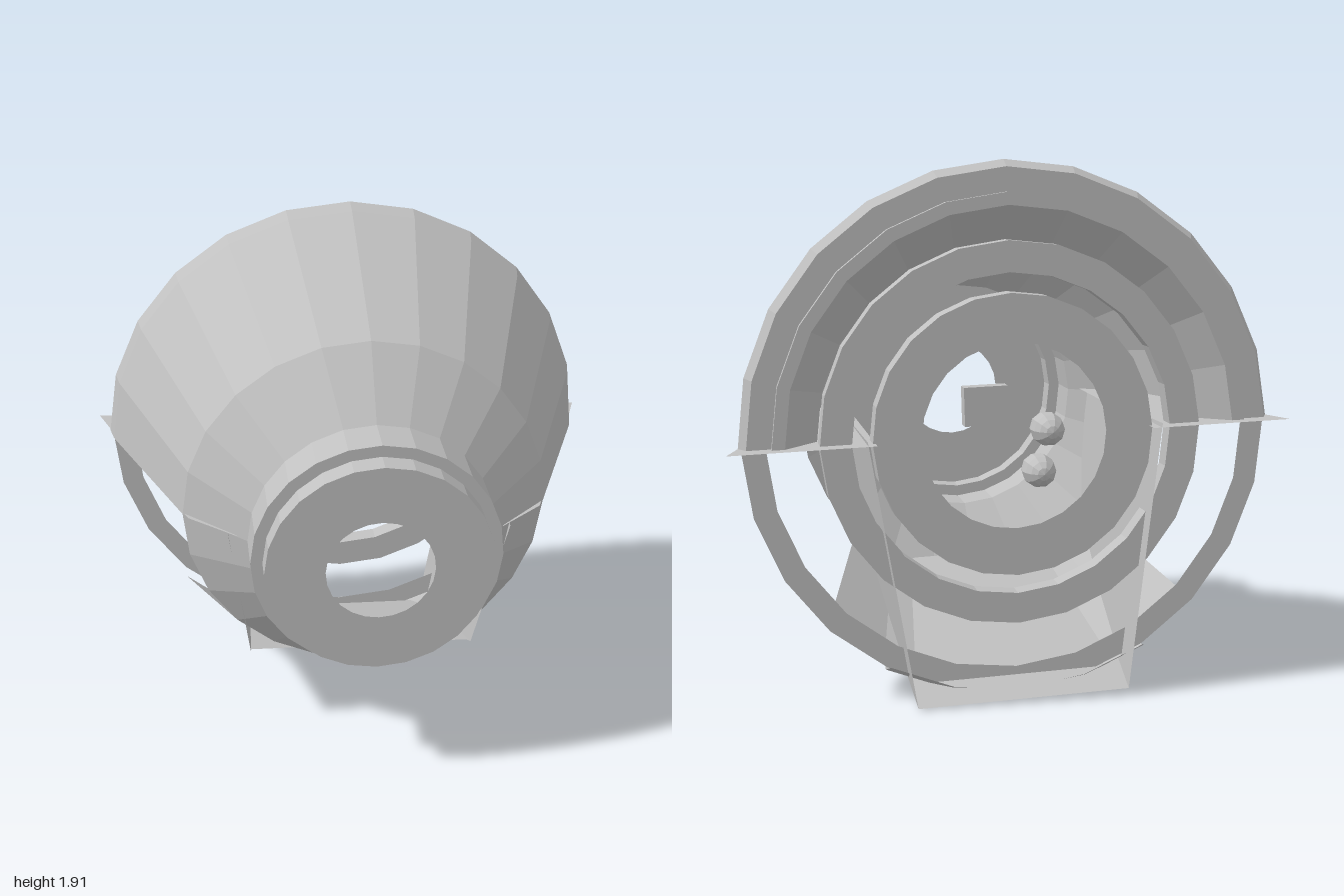
import * as THREE from 'three';

const grey = new THREE.MeshStandardMaterial({ color: 0xc0c0c0, flatShading: true, side: THREE.DoubleSide });
grey.name = 'plain grey';

export function createModel() {
  const model = new THREE.Group();
  const body = new THREE.Group();
  body.name = 'body';
  body.position.set(-0.003, 0.957, 0);
  body.rotation.z = -0.03; // slight roll
  model.add(body);

  const add = (name, geometry) => {
    const mesh = new THREE.Mesh(geometry, grey);
    mesh.name = name;
    body.add(mesh);
    return mesh;
  };
  // surface of revolution about z from [radius, z] pairs; angle 0 points straight down
  const turned = (name, profile, segments = 24, start = 0, sweep = Math.PI * 2) => {
    const g = new THREE.LatheGeometry(profile.map(p => new THREE.Vector2(...p)), segments, start, sweep);
    return add(name, g.rotateX(Math.PI / 2));
  };
  // flat convex plate as a fan of corners
  const plate = (name, corners) => {
    const g = new THREE.BufferGeometry();
    g.setAttribute('position', new THREE.Float32BufferAttribute(corners.flat(), 3));
    const index = [];
    for (let i = 1; i < corners.length - 1; i++) index.push(0, i, i + 1);
    g.setIndex(index);
    g.computeVertexNormals();
    return add(name, g);
  };

  // stepped front boss with its opening, and the short front cone
  turned('frontBoss', [[0.195, 0.635], [0.41, 0.635], [0.41, 0.555],
    [0.453, 0.555], [0.453, 0.4], [0.68, 0.19]]);

  // upper half shell with a stepped rear rim turning inward
  turned('upperShell', [[0.68, 0.19], [0.94, -0.44], [0.955, -0.51], [0.93, -0.56],
    [0.845, -0.56], [0.845, -0.585], [0.8, -0.585], [0.68, -0.47]], 12, Math.PI / 2, Math.PI);

  // lower part of the shell, its rim and the open hoop
  turned('lowerShell', [[0.68, 0.19], [0.94, -0.43]], 6, -Math.PI / 4, Math.PI / 2);
  turned('lowerRim', [[0.94, -0.43], [0.955, -0.51], [0.93, -0.56]], 4, -Math.PI / 6, Math.PI / 3);
  turned('lowerHoop', [[0.86, -0.51], [0.945, -0.51]], 12, -Math.PI / 2, Math.PI);

  // concentric rings inside the back
  turned('middleRing', [[0.57, -0.5], [0.68, -0.5], [0.68, -0.57], [0.57, -0.57], [0.57, -0.5]]);
  turned('innerRing', [[0.33, -0.585], [0.5, -0.585], [0.5, -0.5]]);

  const wallX = y => 0.52 + 0.145 * y;
  for (const s of [1, -1]) {
    // leaning duct walls
    plate('ductWall', [[0, 0.36], [-0.6, 0.235], [-0.63, 0.18], [-0.94, -0.635], [0.02, -0.635]]
      .map(([y, z]) => [s * wallX(y), y, z]));

    // horizontal plates closing the shell halves
    plate('sidePlate', [[0.49, 0.37], [0.66, 0.23], [0.95, -0.5], [1, -0.635], [0.49, -0.635]]
      .map(([x, z]) => [s * x, 0.005, z]));
  }

  // sloping duct floor
  plate('ductFloor', [[1, -0.615, 0.2], [-1, -0.615, 0.2], [-1, -0.94, -0.635], [1, -0.94, -0.635]]
    .map(([s, y, z]) => [s * wallX(y), y, z]));

  // small inner block and two rounded pegs
  add('innerBlock', new THREE.BoxGeometry(0.17, 0.15, 0.06)).position.set(-0.005, 0.028, -0.05);
  for (const [x, y] of [[-0.33, -0.14], [-0.29, -0.31]]) {
    const peg = add('roundedPeg', new THREE.SphereGeometry(0.07, 10, 8).rotateX(Math.PI / 2));
    peg.scale.z = 1.5;
    peg.position.set(x, y, 0.28);
  }
  return model;
}
